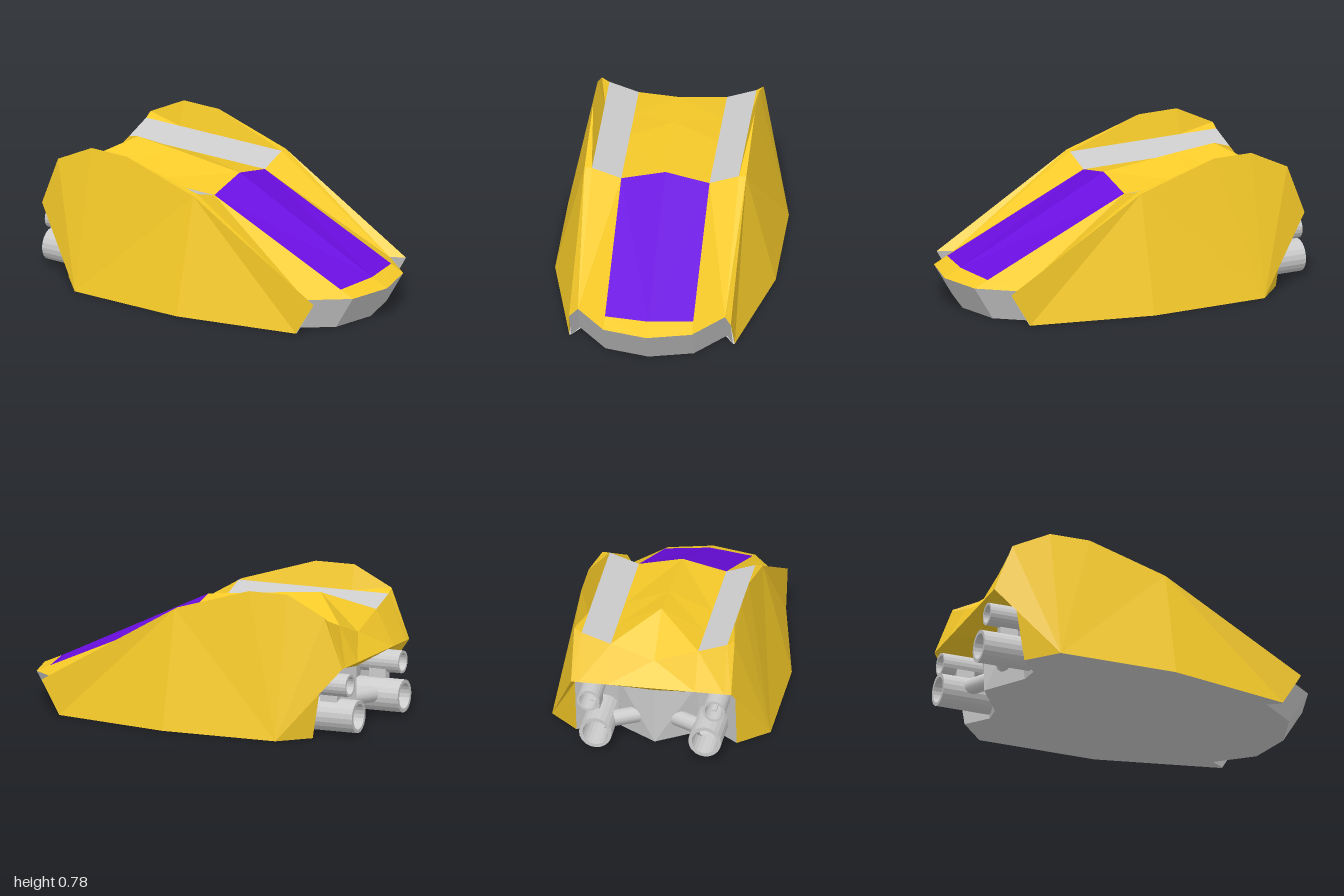
import * as THREE from 'three';

const YELLOW = 0xf5c928, GREY = 0xcccccc, PURPLE = 0x6a0ddf;

const material = (color, flatShading = true) =>
  new THREE.MeshStandardMaterial({ color, flatShading, side: THREE.DoubleSide });

// Mesh from a list of triangles, each with three [x, y, z] corners
function facets(name, color, triangles) {
  const geo = new THREE.BufferGeometry();
  geo.setAttribute('position', new THREE.Float32BufferAttribute(triangles.flat(2), 3));
  geo.computeVertexNormals();
  const mesh = new THREE.Mesh(geo, material(color));
  mesh.name = name;
  return mesh;
}

// Triangles fanned from one corner over a chain of points
const fan = (c, ring) => ring.slice(1).map((p, i) => [c, ring[i], p]);

// Triangles of a sheet spanned by rows of points
function sheet(rows) {
  const out = [];
  for (let r = 0; r + 1 < rows.length; r++) {
    for (let i = 0; i + 1 < rows[r].length; i++) {
      const a = rows[r][i], b = rows[r][i + 1], c = rows[r + 1][i + 1], d = rows[r + 1][i];
      out.push([a, b, c], [a, c, d]);
    }
  }
  return out;
}

// Add the mirrored copy of half the triangles (wound the other way)
const mirrored = (tris) => tris.concat(
  tris.map(([a, b, c]) => [a, c, b].map(([x, y, z]) => [x, y, -z])));

export function createModel() {
  const model = new THREE.Group();
  model.name = 'hoverCraft';
  const add = (name, color, tris) => model.add(facets(name, color, mirrored(tris)));

  // Cross-section columns, outside to centre
  const Z = [0.44, 0.4, 0.24, 0];
  const row = (x, ys) => Z.map((z, i) => [x, ys[i], z]);
  const rear = row(-0.965, [0.395, 0.395, 0.395, 0.395]);
  const deck = [
    row(-0.86, [0.67, 0.645, 0.59, 0.51]),
    row(-0.64, [0.78, 0.645, 0.59, 0.71]),
    row(-0.41, [0.78, 0.645, 0.59, 0.69]),
    row(0.03, [0.645, 0.645, 0.59, 0.645]),
  ];
  const shoulder = deck[3];
  const rim = [0.82, 0.74, 0.94, 1].map((x, i) => [x, 0.185, Z[i]]);
  const canopyEnd = [[0.86, 0.222, 0.24], [0.9, 0.228, 0]];
  const cols = (rows, from, to) => rows.map((r) => r.slice(from, to + 1));

  // Deck: inner cheeks, grey side stripes and central ridge
  add('deckCheeks', YELLOW, sheet(cols(deck, 0, 1)));
  add('deckStripes', GREY, sheet(cols(deck, 1, 2)));
  add('deckRidge', YELLOW, sheet(cols(deck, 2, 3)));
  add('tailFace', YELLOW, sheet([rear, deck[0]]));

  // Canopy and the bonnet around it
  add('canopy', PURPLE, sheet([shoulder.slice(2), canopyEnd]));
  add('bonnet', YELLOW, [
    ...sheet([shoulder.slice(0, 2), rim.slice(0, 2)]),
    ...fan(rim[1], [shoulder[1], shoulder[2], canopyEnd[0], rim[2]]),
    ...sheet([canopyEnd, rim.slice(2)]),
  ]);

  // Sloped nose bumper
  const noseBottom = [[0.71, 0, 0.44], [0.63, 0, 0.4], [0.83, 0, 0.24], [0.89, 0, 0]];
  add('noseBumper', GREY, sheet([rim, noseBottom]));

  // Side panels bulging out toward the ground
  const sillRear = [-0.64, 0, 0.6], sillFront = [0.03, 0, 0.6];
  add('sidePanel', YELLOW, [
    ...fan(sillRear, [[-0.79, 0, 0.44], [-0.84, 0.32, 0.44], rear[0],
      deck[0][0], deck[1][0], deck[2][0], shoulder[0], sillFront]),
    ...fan(shoulder[0], [sillFront, [0.71, 0, 0.45], rim[0]]),
  ]);

  // Tail underside, bulkhead and floor
  const wallBottom = [[-0.79, 0, 0.44], [-0.69, 0, 0.32], [-0.7, 0, 0.22], [-0.85, 0, 0]];
  const wallTop = [[-0.84, 0.32, 0.44], [-0.75, 0.32, 0.32], [-0.75, 0.32, 0.22], [-0.85, 0.32, 0]];
  const wallRear = wallTop.map(([, , z]) => [-0.965, 0.395, z]);
  add('tailUnderside', YELLOW, sheet([wallRear, wallTop]));
  add('rearBulkhead', GREY, sheet([wallTop, wallBottom]));
  add('floor', GREY, fan([0, 0, 0], [
    ...[...wallBottom].reverse(), sillRear, sillFront, [0.71, 0, 0.45], ...noseBottom]));

  // Hollow exhausts along x, with a closed inner end
  const exhaust = (name, tip, length, radius, y, z) => {
    const profile = [[0, 0], [radius, 0], [radius, length], [radius * 0.78, length],
      [radius * 0.72, length * 0.35], [0, length * 0.35]];
    const geo = new THREE.LatheGeometry(profile.map((p) => new THREE.Vector2(...p)), 20);
    const mesh = new THREE.Mesh(geo, material(GREY));
    mesh.name = name;
    mesh.rotation.z = Math.PI / 2;
    mesh.position.set(tip + length, y, z);
    model.add(mesh);
  };
  for (const side of [1, -1]) {
    exhaust('lowerExhaust', -1, 0.34, 0.09, 0.11, side * 0.3);
    exhaust('upperExhaust', -0.97, 0.26, 0.0625, 0.287, side * 0.345);

    // Feed pipe from the bulkhead to the lower exhaust
    const path = new THREE.LineCurve3(
      new THREE.Vector3(-0.76, 0.12, side * 0.08), new THREE.Vector3(-0.87, 0.12, side * 0.28));
    const pipe = new THREE.Mesh(new THREE.TubeGeometry(path, 1, 0.045, 12), material(GREY, false));
    pipe.name = 'feedPipe';
    model.add(pipe);

    // Bracket between the two exhausts
    const bracket = new THREE.Mesh(new THREE.BoxGeometry(0.1, 0.08, 0.05), material(GREY));
    bracket.name = 'exhaustBracket';
    bracket.position.set(-0.84, 0.21, side * 0.32);
    model.add(bracket);
  }
  return model;
}
